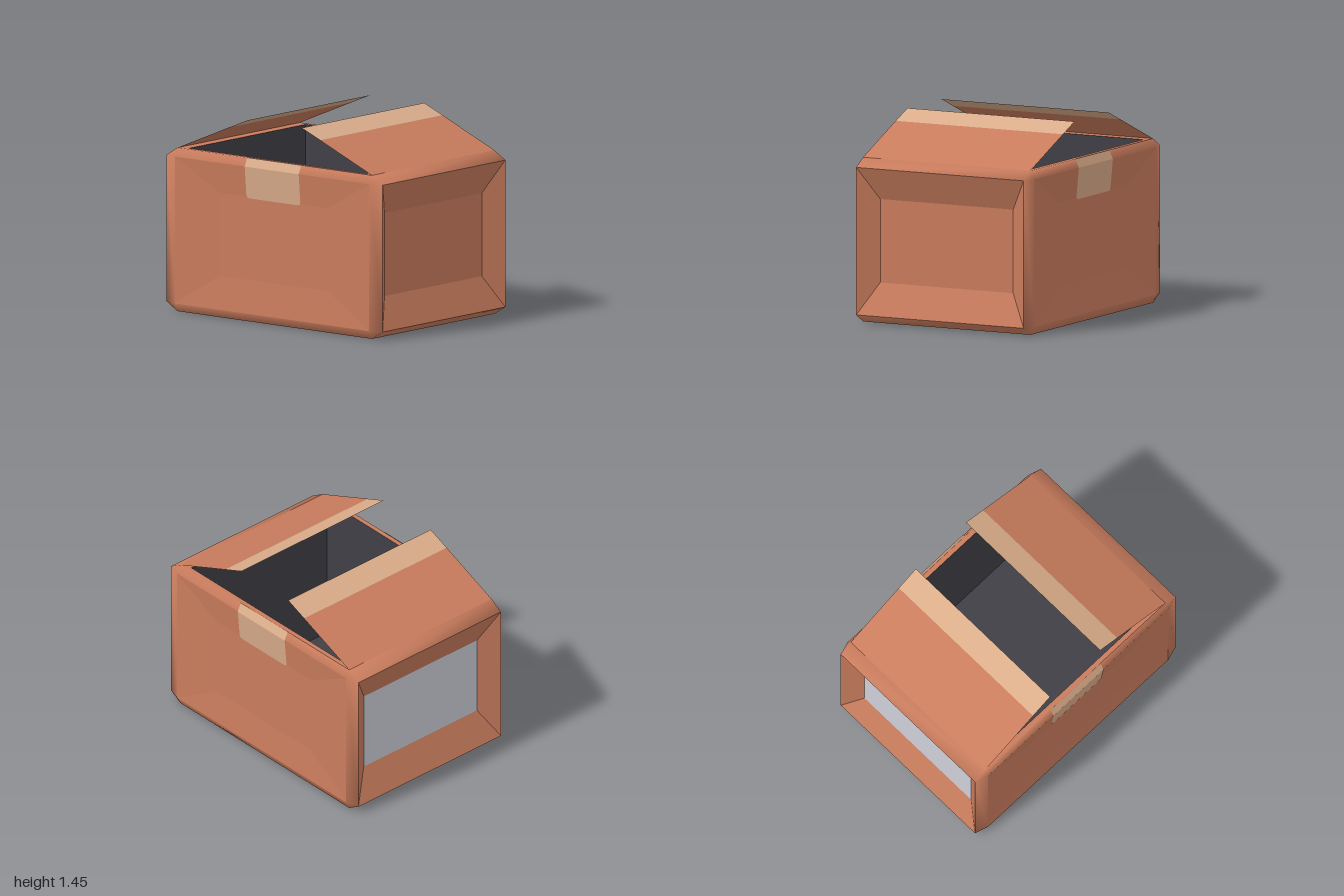
import * as THREE from 'three';
import { mergeVertices } from 'three/addons/utils/BufferGeometryUtils.js';

const mat = (name, color, side = THREE.FrontSide) =>
  Object.assign(new THREE.MeshStandardMaterial({ color, side }), { name });

const CENTRE = new THREE.Vector3(0, 0.59, 0);

// Convex polygons turned away from (sign 1) or towards (sign -1) the box centre
function polygons(polys, sign = 1) {
  const out = [];
  for (const poly of polys) {
    const v = poly.map(p => new THREE.Vector3(...p));
    const mid = v.reduce((s, p) => s.add(p), new THREE.Vector3()).divideScalar(v.length).sub(CENTRE);
    const n = v[1].clone().sub(v[0]).cross(v[2].clone().sub(v[0]));
    if (n.dot(mid) * sign < 0) v.reverse();
    for (let i = 1; i < v.length - 1; i++)
      for (const p of [v[0], v[i], v[i + 1]]) out.push(p.x, p.y, p.z);
  }
  const g = new THREE.BufferGeometry();
  g.setAttribute('position', new THREE.Float32BufferAttribute(out, 3));
  g.computeVertexNormals();
  return g;
}

// Four quads joining two rectangles given as corner loops
const ring = (a, b) => a.map((p, i) => [p, a[(i + 1) % 4], b[(i + 1) % 4], b[i]]);

export function createModel() {
  const group = new THREE.Group();
  const cardboard = mat('cardboard', 0xc97c5d);
  const cardboardSheet = mat('cardboard sheet', 0xc97c5d, THREE.DoubleSide);
  const tape = mat('packing tape', 0xdaac8a, THREE.DoubleSide);
  const dark = mat('dark interior', 0x403f47);
  const paper = mat('label paper', 0xcfd0d9);
  const add = (name, geometry, material) => {
    const m = new THREE.Mesh(geometry, material);
    m.name = name;
    group.add(m);
    return m;
  };

  // Outer size and the inset edge of each bevel
  const X = 1, XI = 0.9, Z = 0.71, ZI = 0.68, Y0 = 0, Y1 = 0.06, Y2 = 1.12, Y3 = 1.18;
  const rectX = (x, z, y0, y1) => [[x, y0, -z], [x, y0, z], [x, y1, z], [x, y1, -z]];
  const rectY = (y, x, z) => [[-x, y, -z], [x, y, -z], [x, y, z], [-x, y, z]];
  const rectZ = (z, x, y0, y1) => [[-x, y0, z], [x, y0, z], [x, y1, z], [-x, y1, z]];

  // Smooth bevel frame: 12 edges and 8 corners
  const bevels = [];
  for (const s of [-1, 1]) {
    for (const t of [-1, 1]) {
      bevels.push([[s * X, Y1, t * ZI], [s * X, Y2, t * ZI], [s * XI, Y2, t * Z], [s * XI, Y1, t * Z]]);
      for (const [ya, yb] of [[Y1, Y0], [Y2, Y3]])
        bevels.push([[s * X, ya, t * ZI], [s * XI, ya, t * Z], [s * XI, yb, t * ZI]]);
    }
    for (const [ya, yb] of [[Y1, Y0], [Y2, Y3]]) {
      bevels.push([[s * X, ya, -ZI], [s * X, ya, ZI], [s * XI, yb, ZI], [s * XI, yb, -ZI]]);
      bevels.push([[-XI, ya, s * Z], [XI, ya, s * Z], [XI, yb, s * ZI], [-XI, yb, s * ZI]]);
    }
  }
  const frame = polygons(bevels);
  frame.deleteAttribute('normal');
  const smoothFrame = mergeVertices(frame);
  smoothFrame.computeVertexNormals();
  add('bevelled edges', smoothFrame, cardboard);

  // Dented walls, with a paper label filling the dent on the -x side
  const DZ = 0.69, DY1 = 0.3, DY2 = 0.9;
  for (const s of [-1, 1]) {
    const sideInner = rectX(s * 0.9, 0.54, 0.29, 0.89);
    add(s > 0 ? 'left wall' : 'right wall', polygons(ring(rectX(s * X, ZI, Y1, Y2), sideInner)), cardboard);
    add(s > 0 ? 'left wall panel' : 'label', polygons([sideInner]), s > 0 ? cardboard : paper);

    const inner = rectZ(s * DZ, 0.5, DY1, DY2);
    add(s > 0 ? 'front wall' : 'back wall',
      polygons([...ring(rectZ(s * Z, XI, Y1, Y2), inner), inner]), cardboard);
  }
  add('bottom', polygons([rectY(Y0, XI, ZI)]), cardboard);

  // Rim and dark inside
  const mouth = rectY(Y3, 0.82, 0.645), floor = rectY(0.05, 0.82, 0.645);
  add('rim', polygons(ring(rectY(Y3, XI, ZI), mouth)), cardboard);
  add('interior', polygons([...ring(mouth, floor), floor], -1), dark);

  // Half-open flaps with a strip of tape along the free edge
  const strip = (s, xa, ya, xb, yb) =>
    polygons([[[s * xa, ya, -ZI], [s * xa, ya, ZI], [s * xb, yb, ZI], [s * xb, yb, -ZI]]]);
  for (const s of [-1, 1]) {
    const side = s > 0 ? 'left' : 'right';
    add(side + ' flap', strip(s, XI, Y3, 0.42, 1.38), cardboardSheet);
    add(side + ' flap tape', strip(s, 0.42, 1.38, 0.25, 1.45), tape);
  }

  // Tape ends folded down the front and back
  const W = 0.25, B = 0.89, R = 0.03, LIFT = 0.004;
  const outline = new THREE.Shape();
  outline.moveTo(-W, Y2);
  outline.lineTo(-W, B + R);
  outline.quadraticCurveTo(-W, B, -W + R, B);
  outline.lineTo(W - R, B);
  outline.quadraticCurveTo(W, B, W, B + R);
  outline.lineTo(W, Y2);
  for (const s of [1, -1]) {
    const end = new THREE.ShapeGeometry(outline, 5);
    const p = end.attributes.position;
    for (let i = 0; i < p.count; i++)
      p.setZ(i, Z + LIFT - (Z - DZ) * (Y2 - p.getY(i)) / (Y2 - DY2));
    end.computeVertexNormals();
    const name = s > 0 ? 'front tape' : 'back tape';
    add(name, end, tape).rotation.y = s > 0 ? 0 : Math.PI;
    add(name + ' fold', polygons([[[-W, Y2, s * (Z + LIFT)], [W, Y2, s * (Z + LIFT)],
      [W, Y3 + 0.001, s * (ZI + LIFT)], [-W, Y3 + 0.001, s * (ZI + LIFT)]]]), tape);
  }
  return group;
}
